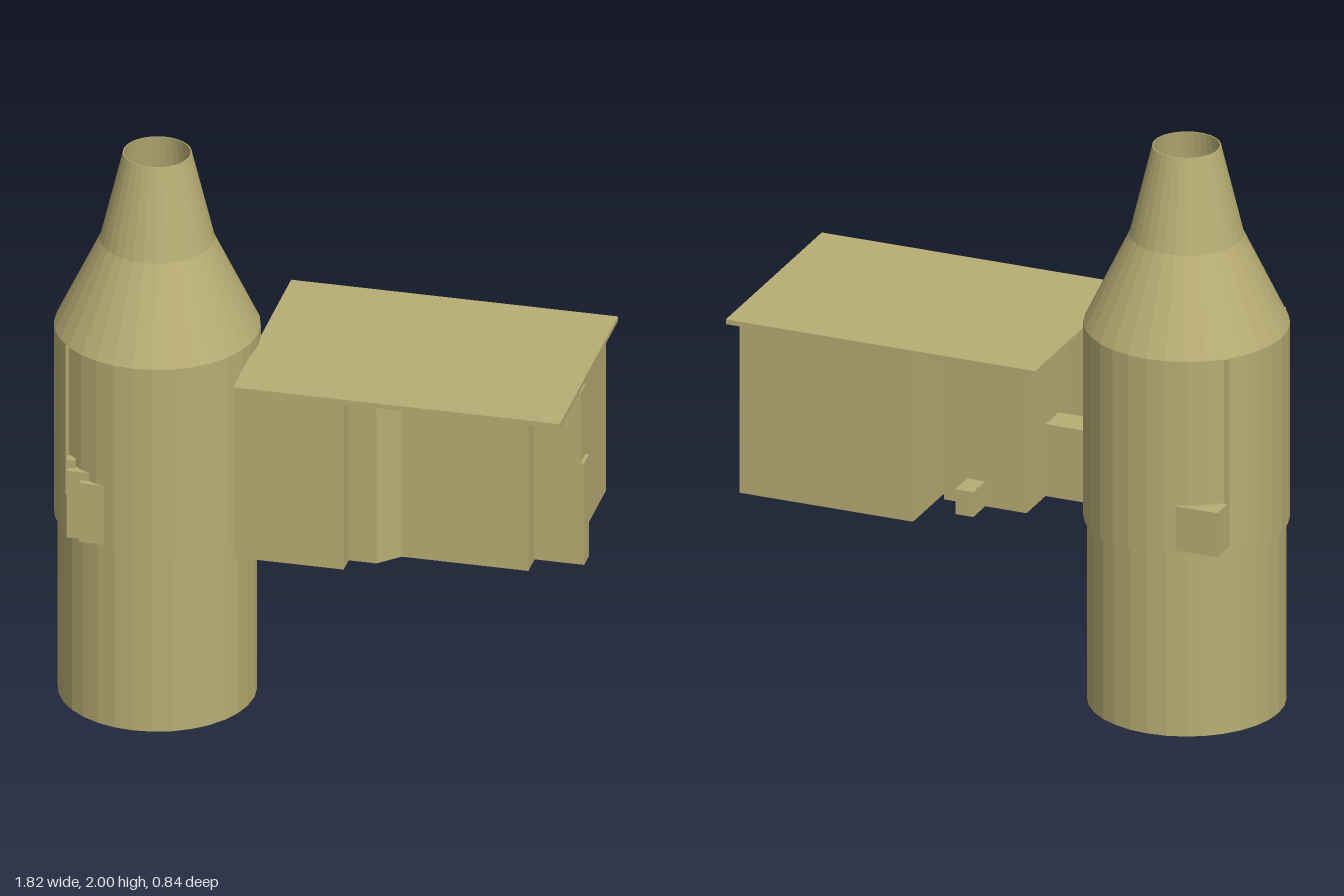
import * as THREE from 'three';

export function createModel() {
  const group = new THREE.Group();
  const sand = new THREE.MeshStandardMaterial({ color: 0xb8ad74, flatShading: true });
  sand.name = 'sand';

  const add = (name, geometry) => {
    const mesh = new THREE.Mesh(geometry, sand);
    mesh.name = name;
    group.add(mesh);
    return mesh;
  };
  // Box given by its limits on each axis
  const box = (name, x0, x1, y0, y1, z0, z1) =>
    add(name, new THREE.BoxGeometry(x1 - x0, y1 - y0, z1 - z0))
      .position.set((x0 + x1) / 2, (y0 + y1) / 2, (z0 + z1) / 2);

  // Hollow tower with a tapering chimney
  const profile = [
    [0.163, 0], [0.333, 0], [0.333, 0.66], [0.345, 0.66], [0.345, 1.36],
    [0.192, 1.68], [0.115, 2], [0.111, 2], [0.163, 1.68], [0.163, 0],
  ].map(([r, y]) => new THREE.Vector2(r, y));
  add('tower', new THREE.LatheGeometry(profile, 32)).position.set(-0.567, 0, 0.075);

  // Fittings around the tower
  box('towerRib', -0.822, -0.81, 0.81, 1.36, -0.175, 0.32);
  box('frontFitting', -0.803, -0.67, 0.68, 0.93, 0.2, 0.38);
  box('frontFittingCover', -0.755, -0.67, 0.68, 0.9, 0.3, 0.402);
  box('frontFittingPeg', -0.81, -0.78, 0.93, 0.96, 0.2, 0.36);
  box('rearFitting', -0.822, -0.67, 0.68, 0.84, -0.26, -0.15);

  // Stepped main block, drawn in plan as x, z
  const plan = [
    [-0.235, 0.35], [0.14, 0.35], [0.14, 0.28], [0.235, 0.28], [0.305, 0.212],
    [0.74, 0.212], [0.74, -0.04], [0.23, -0.04], [0.23, -0.12],
    [-0.07, -0.12], [-0.07, 0.21], [-0.235, 0.21],
  ].map(([x, z]) => new THREE.Vector2(x, -z));
  const block = new THREE.ExtrudeGeometry(new THREE.Shape(plan), { depth: 0.64, bevelEnabled: false });
  block.rotateX(-Math.PI / 2);
  add('mainBlock', block).position.y = 0.66;

  // Rear room, end pier and small extensions
  box('rearRoom', 0.23, 0.86, 0.68, 1.29, -0.38, -0.035);
  box('pierUpper', 0.735, 0.897, 1.04, 1.3, 0.055, 0.125);
  box('pierLower', 0.735, 0.91, 0.66, 1.04, 0.055, 0.125);
  box('passage', -0.3, -0.065, 0.66, 0.92, 0.04, 0.15);
  box('rearOutlet', 0.08, 0.145, 0.66, 0.75, -0.22, -0.11);

  // Flat overhanging roof
  box('roof', -0.23, 0.892, 1.3, 1.317, -0.42, 0.39);

  return group;
}
